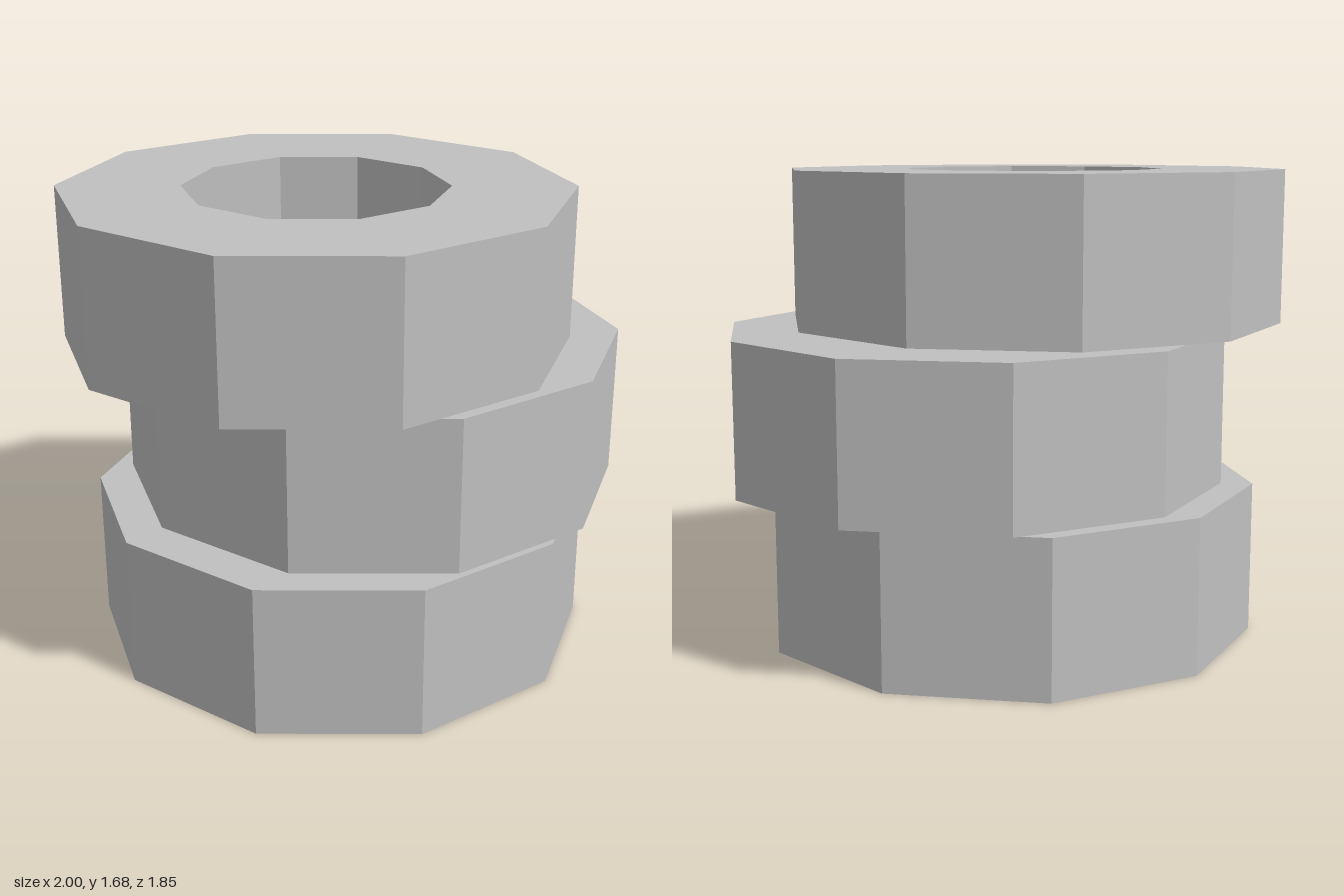
import * as THREE from 'three';

const SIDES = 10;
const OUTER = 0.902;
const INNER = 0.467;
const HEIGHT = 0.547;
const SPACING = 0.565;

// Corners of a regular polygon with a corner on +x
function polygon(radius) {
  return Array.from({ length: SIDES }, (_, i) => {
    const a = (i / SIDES) * Math.PI * 2;
    return new THREE.Vector2(Math.cos(a) * radius, Math.sin(a) * radius);
  });
}

export function createModel() {
  const model = new THREE.Group();
  model.name = 'ringStack';

  const grey = new THREE.MeshStandardMaterial({ color: 0xc0c0c0 });
  grey.name = 'grey';

  // Ten-sided ring, standing on y = 0
  const shape = new THREE.Shape(polygon(OUTER));
  shape.holes.push(new THREE.Path(polygon(INNER)));
  const ringGeometry = new THREE.ExtrudeGeometry(shape, { depth: HEIGHT, bevelEnabled: false });
  ringGeometry.rotateX(-Math.PI / 2);

  // Three loosely stacked rings, each shifted sideways
  const rings = [
    ['bottomRing', -0.015, 0.015],
    ['middleRing', 0.098, -0.066],
    ['topRing', -0.098, 0.066],
  ];
  rings.forEach(([name, x, z], level) => {
    const ring = new THREE.Mesh(ringGeometry, grey);
    ring.name = name;
    ring.position.set(x, level * SPACING, z);
    model.add(ring);
  });

  return model;
}
